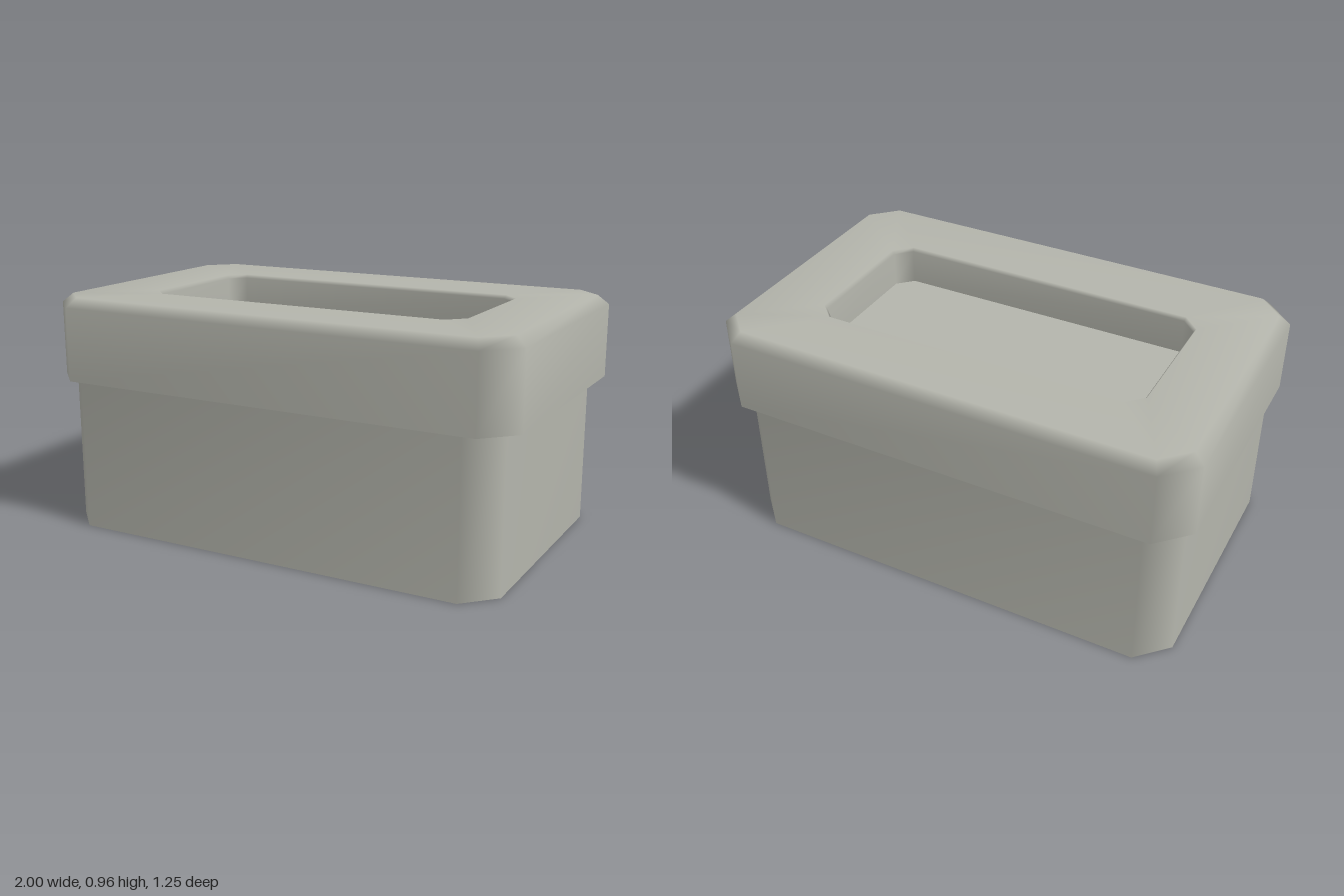
import * as THREE from 'three';

// Rectangle with cut corners, running from +x towards +z
function ring(y, hx, hz, cut, cx = 0, cz = 0) {
  return [
    [hx, -hz + cut], [hx, hz - cut], [hx - cut, hz], [-hx + cut, hz],
    [-hx, hz - cut], [-hx, -hz + cut], [-hx + cut, -hz], [hx - cut, -hz],
  ].map(([x, z]) => [x + cx, y, z + cz]);
}

// Smooth skin through a list of rings
function loft(rings) {
  const n = rings[0].length, index = [];
  for (let r = 0; r < rings.length - 1; r++) {
    for (let i = 0; i < n; i++) {
      const j = (i + 1) % n;
      const a = r * n + i, b = r * n + j, c = a + n, d = b + n;
      index.push(a, c, b, b, c, d);
    }
  }
  return build(rings.flat(), index);
}

// Flat panel filling one ring
function cap(points, up) {
  const index = [];
  for (let i = 1; i < points.length - 1; i++) {
    index.push(0, up ? i + 1 : i, up ? i : i + 1);
  }
  return build(points, index);
}

function build(points, index) {
  const g = new THREE.BufferGeometry();
  g.setAttribute('position', new THREE.Float32BufferAttribute(points.flat(), 3));
  g.setIndex(index);
  g.computeVertexNormals();
  return g;
}

export function createModel() {
  const model = new THREE.Group();
  model.name = 'liddedBox';
  const stone = new THREE.MeshStandardMaterial({ color: 0xb4b5ac, side: THREE.DoubleSide });
  stone.name = 'pale grey stone';

  const add = (name, geometry) => {
    const mesh = new THREE.Mesh(geometry, stone);
    mesh.name = name;
    model.add(mesh);
  };

  // Open-bottomed box walls
  add('boxWalls', loft([
    ring(0, 0.948, 0.6, 0.12, -0.012),
    ring(0.62, 0.948, 0.6, 0.12, -0.012),
  ]));

  // Lid: sides, bevelled edge, top frame, softened rim and recess walls
  const floor = ring(0.793, 0.682, 0.312, 0.06, -0.005, -0.008);
  add('lidShell', loft([
    ring(0.62, 1, 0.625, 0.123),
    ring(0.92, 1, 0.625, 0.123),
    ring(0.957, 0.957, 0.583, 0.1),
    ring(0.953, 0.692, 0.322, 0.066, -0.005, -0.008),
    ring(0.938, 0.682, 0.312, 0.06, -0.005, -0.008),
    floor,
  ]));
  add('recessFloor', cap(floor, true));
  add('lidUnderside', cap(ring(0.62, 1, 0.625, 0.123), false));

  return model;
}
